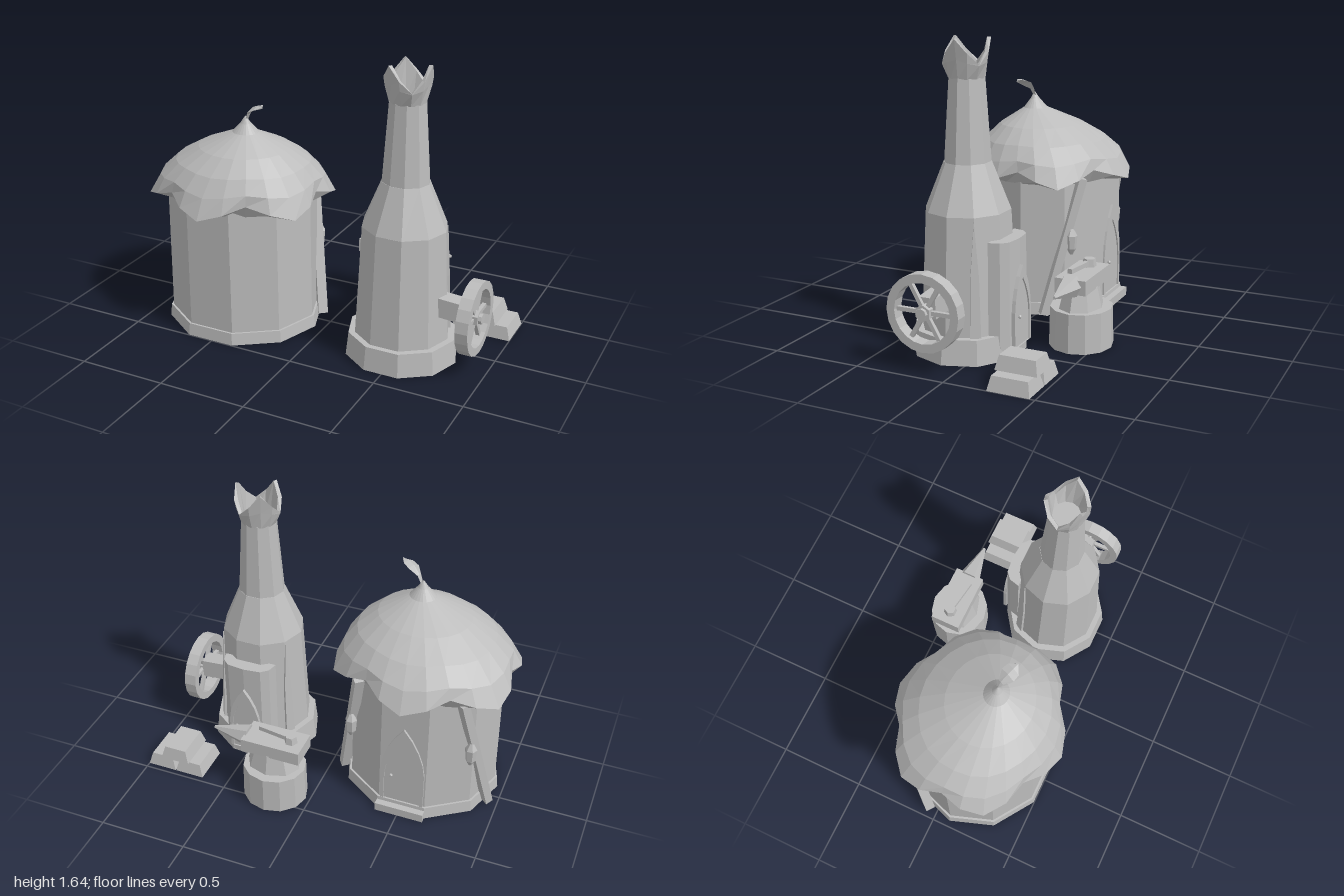
import * as THREE from 'three';

const stone = new THREE.MeshStandardMaterial({ color: 0xbcbcbc, flatShading: true, side: THREE.DoubleSide });
stone.name = 'plain grey';

const V = (x, y, z) => new THREE.Vector3(x, y, z);
const points2 = list => list.map(p => new THREE.Vector2(...p));

function add(parent, name, geometry, x = 0, y = 0, z = 0) {
  const mesh = new THREE.Mesh(geometry, stone);
  mesh.name = name;
  mesh.position.set(x, y, z);
  parent.add(mesh);
  return mesh;
}

function group(parent, name, x = 0, y = 0, z = 0) {
  const g = new THREE.Group();
  g.name = name;
  g.position.set(x, y, z);
  parent.add(g);
  return g;
}

// Straight-sided drum standing from y0 to y1, with a corner on the x axis
function drum(rTop, rBottom, y0, y1, sides, zScale = 1, open = false) {
  return new THREE.CylinderGeometry(rTop, rBottom, y1 - y0, sides, 1, open, Math.PI / 2)
    .scale(1, 1, zScale).translate(0, (y0 + y1) / 2, 0);
}

// Hollow ten-sided footing with a flat lip on top
function plinth(rBottom, rTop, rInner, h, zScale) {
  return new THREE.LatheGeometry(points2([[rBottom, 0], [rTop, h], [rInner, h]]), 10, Math.PI / 2)
    .scale(1, 1, zScale);
}

// Skin over a stack of closed rings with equal point counts
function loft(rings) {
  const pos = [];
  const n = rings[0].length;
  for (let i = 0; i < rings.length - 1; i++) {
    for (let j = 0; j < n; j++) {
      const k = (j + 1) % n;
      const a = rings[i][j], b = rings[i][k], c = rings[i + 1][j], d = rings[i + 1][k];
      for (const p of [a, c, b, b, c, d]) pos.push(p.x, p.y, p.z);
    }
  }
  const g = new THREE.BufferGeometry();
  g.setAttribute('position', new THREE.Float32BufferAttribute(pos, 3));
  g.computeVertexNormals();
  return g;
}

// Beam between two points of the parent's space
function beam(parent, name, from, to, width, depth) {
  const mesh = add(parent, name, new THREE.BoxGeometry(width, depth, from.distanceTo(to)));
  mesh.position.copy(from).add(to).multiplyScalar(0.5);
  mesh.quaternion.setFromRotationMatrix(new THREE.Matrix4().lookAt(to, from, V(0, 1, 0)));
}

function extrude(shape, depth) {
  return new THREE.ExtrudeGeometry(shape, { depth, bevelEnabled: false, curveSegments: 4 });
}

// Pointed arch door with frame, facing -z
function archDoor(parent, w, h, x, y, z) {
  const door = group(parent, 'door', x, y, z);
  const outline = (s, path) => {
    path.moveTo(-w * s / 2, 0);
    path.lineTo(w * s / 2, 0);
    path.lineTo(w * s / 2, h * s * 0.45);
    path.quadraticCurveTo(w * s * 0.45, h * s * 0.75, 0, h * s);
    path.quadraticCurveTo(-w * s * 0.45, h * s * 0.75, -w * s / 2, h * s * 0.45);
    return path;
  };
  const frame = outline(1, new THREE.Shape());
  frame.holes.push(outline(0.84, new THREE.Path()));
  add(door, 'doorFrame', extrude(frame, 0.02), 0, 0, -0.02);
  add(door, 'doorPanel', extrude(outline(0.84, new THREE.Shape()), 0.012), 0, 0, -0.012);
  add(door, 'doorKnob', new THREE.IcosahedronGeometry(0.011), w * 0.25, h * 0.38, -0.025);
}

function buildHut(root) {
  const hut = group(root, 'hut', -0.51, 0, 0.09);
  add(hut, 'hutWall', drum(0.428, 0.435, 0.01, 0.8, 10, 0.94));
  add(hut, 'hutPlinth', plinth(0.455, 0.447, 0.42, 0.07, 0.94));

  // Scalloped roof with a closed underside: half width, height, lean of the ring, scallop strength
  const rows = [[0.42, 0.765, 0, 0], [0.537, 0.76, 0, 1], [0.473, 0.875, 0.008, 0.35],
    [0.385, 0.972, 0.025, 0.1], [0.26, 1.06, 0.045, 0], [0.075, 1.15, 0.07, 0],
    [0.03, 1.2, 0.073, 0], [0.004, 1.24, 0.075, 0]];
  const rings = rows.map(([r, y, lean, wave]) => Array.from({ length: 24 }, (_, j) => {
    const a = j * Math.PI / 12;
    const [inset, lift] = [[0.135, 0.08], [0.05, 0.04], [0, 0], [0.05, 0.04]][j % 4];
    const rr = r * (1 - inset * wave);
    return V(rr * Math.cos(a) + lean, y + lift * wave, rr * 0.91 * Math.sin(a) + lean);
  }));
  add(hut, 'roof', loft(rings));

  // Curled leaf on the tip: point and half width
  const spine = [[0.075, 1.21, 0.07, 0.008], [0.1, 1.265, 0.08, 0.014],
    [0.14, 1.305, 0.1, 0.04], [0.175, 1.32, 0.115, 0.036], [0.21, 1.322, 0.125, 0.002]];
  add(hut, 'roofLeaf', loft(spine.map(([x, y, z, w]) => [
    V(x - w * 0.4, y - w * 0.5, z + w), V(x, y + 0.004, z), V(x + w * 0.4, y, z - w), V(x, y - 0.008, z)])));

  archDoor(hut, 0.25, 0.54, 0, 0.05, -0.378);
  add(hut, 'doorStep', new THREE.BoxGeometry(0.28, 0.05, 0.08), 0, 0.025, -0.4);

  // Leaning posts with lanterns, both sides of the door
  for (const s of [1, -1]) {
    beam(hut, 'leaningPost', V(s * 0.43, 0.015, -0.145), V(s * 0.29, 0.8, -0.32), 0.055, 0.045);
    const lantern = group(hut, 'lantern', s * 0.345, 0.44, -0.28);
    add(lantern, 'lanternBody', drum(0.034, 0.028, -0.04, 0.035, 6));
    add(lantern, 'lanternTop', drum(0.006, 0.034, 0.035, 0.085, 6));
    add(lantern, 'lanternBase', drum(0.028, 0.008, -0.075, -0.04, 6));
  }
}

function buildTower(root) {
  const tower = group(root, 'tower', 0.495, 0, 0.115);
  add(tower, 'towerPlinth', plinth(0.318, 0.303, 0.26, 0.135, 0.95));
  add(tower, 'towerBody', drum(0.234, 0.27, 0.05, 0.76, 10, 0.96));
  add(tower, 'towerShoulder', drum(0.132, 0.236, 0.76, 1.01, 10, 0.95));
  add(tower, 'towerNeck', drum(0.101, 0.132, 1.01, 1.445, 10, 0.93));

  // Crown of three petals, with thickness
  const crownRing = (r, y, rise, tipIn) => Array.from({ length: 12 }, (_, j) => {
    const a = j * Math.PI / 6;
    const t = [1, 0.45, 0, 0.45][j % 4];
    const rr = r - tipIn * t;
    return V(rr * Math.cos(a), y + rise * t, rr * Math.sin(a) * 0.95);
  });
  add(tower, 'crown', loft([crownRing(0.099, 1.44, 0, 0), crownRing(0.13, 1.51, 0.03, 0.018),
    crownRing(0.13, 1.515, 0.13, 0), crownRing(0.108, 1.515, 0.13, 0), crownRing(0.078, 1.44, 0, 0)]));

  // Porch and door at the back
  const plan = new THREE.Shape(points2([[-0.155, 0.19], [-0.14, 0.25], [-0.1, 0.285],
    [0, 0.296], [0.1, 0.285], [0.14, 0.25], [0.155, 0.19]]));
  add(tower, 'porch', extrude(plan, 0.63).rotateX(-Math.PI / 2));
  archDoor(tower, 0.19, 0.43, 0, 0.06, -0.294);

  // Pointed stakes leaning on the wall beside the porch
  const stake = new THREE.Shape(points2([[-0.03, 0], [0.03, 0], [0.022, 0.4], [0, 0.69], [-0.022, 0.4]]));
  for (const s of [1, -1]) {
    const m = add(tower, 'stake', extrude(stake, 0.03), s * 0.2, 0.05, -0.137);
    m.rotation.set(-0.05, Math.atan2(s * 0.82, -0.55), 0, 'YXZ');
  }

  // Spoked wheel on an axle
  beam(tower, 'axle', V(0.2, 0.35, 0.02), V(0.41, 0.335, 0.02), 0.095, 0.11);
  const wheel = group(tower, 'wheel', 0.42, 0.317, 0.025);
  const rim = [[0.16, -0.035], [0.205, -0.035], [0.205, 0.035], [0.16, 0.035], [0.16, -0.035]];
  add(wheel, 'rim', new THREE.LatheGeometry(points2(rim), 20).rotateZ(-Math.PI / 2));
  add(wheel, 'hub', drum(0.045, 0.045, -0.04, 0.03, 6).rotateZ(-Math.PI / 2));
  add(wheel, 'hubCap', drum(0.03, 0.03, 0.03, 0.048, 8).rotateZ(-Math.PI / 2));
  for (let i = 0; i < 6; i++) {
    const spoke = add(wheel, 'spoke', new THREE.BoxGeometry(0.022, 0.022, 0.14).translate(0, 0, 0.1));
    spoke.rotation.x = i * Math.PI / 3;
  }
}

function buildAnvil(root) {
  const anvil = group(root, 'anvilOnStump', 0.205, 0, -0.41);
  add(anvil, 'stumpSide', drum(0.18, 0.185, 0, 0.215, 12, 0.93, true), 0.005);
  add(anvil, 'stumpTop', drum(0.18, 0.18, 0.205, 0.215, 12, 0.93), 0.005);
  add(anvil, 'anvilFoot', drum(0.12, 0.155, 0.215, 0.33, 8, 0.75), 0.01);
  add(anvil, 'anvilBlock', new THREE.BoxGeometry(0.345, 0.08, 0.175), -0.005, 0.362, 0);
  add(anvil, 'anvilHorn', drum(0.008, 0.066, 0, 0.215, 6).rotateX(Math.PI / 2).rotateY(Math.PI / 2),
    0.155, 0.365, 0);
  // Hammer lying on top
  const hammer = group(anvil, 'hammer', -0.1, 0.42, 0);
  add(hammer, 'hammerHead', drum(0.033, 0.04, -0.025, 0.025, 6));
  beam(hammer, 'hammerHandle', V(0, 0.003, 0), V(0.2, 0.003, 0.03), 0.026, 0.026);
}

// Hollow tapered bar lying along z
function ingot(parent, x, y, z) {
  const ring = (w, d, h) => [V(w, h, d), V(-w, h, d), V(-w, h, -d), V(w, h, -d)];
  add(parent, 'ingot', loft([ring(0.086, 0.115, 0), ring(0.065, 0.099, 0.075), ring(0, 0.099, 0.075)]), x, y, z);
}

export function createModel() {
  const root = new THREE.Group();
  root.name = 'workshop';
  buildHut(root);
  buildTower(root);
  buildAnvil(root);
  const pile = group(root, 'ingotPile', 0.826, 0, -0.355);
  ingot(pile, -0.088, 0, 0);
  ingot(pile, 0.088, 0, 0);
  ingot(pile, 0, 0.075, 0);
  return root;
}
